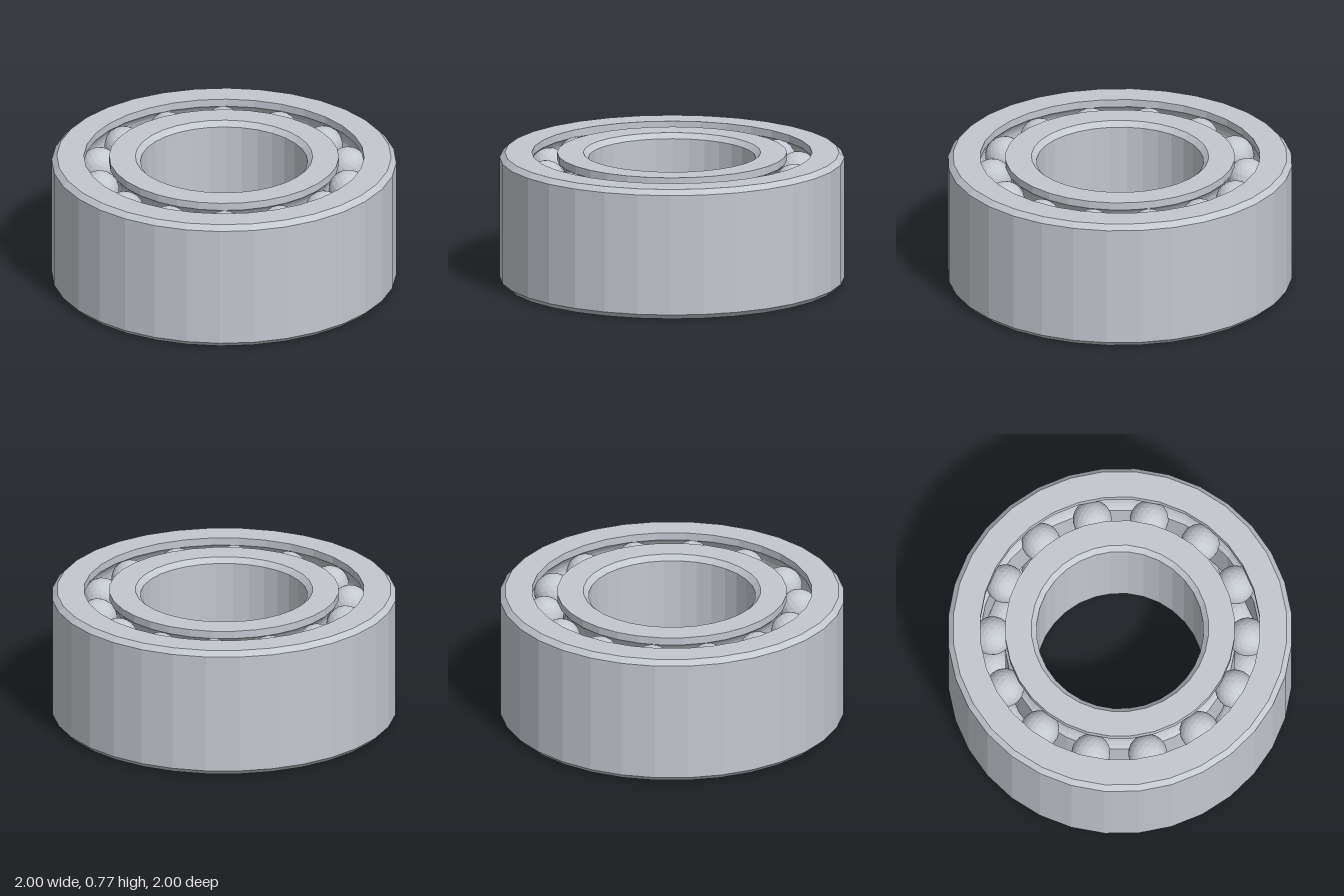
import * as THREE from 'three';

const H = 0.77, MID = H / 2;        // bearing width
const PITCH = 0.74, BALL = 0.113;   // ball circle and ball radius
const GROOVE = 0.116;               // raceway radius
const ROWS = [MID - 0.25, MID + 0.25];
const BALLS = 14, SIDES = 32, CH = 0.03;

const steel = new THREE.MeshStandardMaterial({ color: 0xc4c8cf });
steel.name = 'steel';

// Give every facet its own flat normal
function faceted(geometry) {
  const g = geometry.index ? geometry.toNonIndexed() : geometry;
  g.computeVertexNormals();
  return g;
}

// Race wall with one round groove per ball row, listed upwards;
// side is +1 for a groove cut into the outer ring, -1 for the inner ring
function raceWall(radius, side) {
  const pts = [[radius, 0]];
  const reach = Math.acos(Math.abs(radius - PITCH) / GROOVE);
  for (const y of ROWS) {
    for (let i = 0; i <= 8; i++) {
      const a = reach * (i / 4 - 1);
      pts.push([PITCH + side * GROOVE * Math.cos(a), y + GROOVE * Math.sin(a)]);
    }
  }
  pts.push([radius, H]);
  return pts;
}

// Closed ring turned from its cross-section
function ring(name, profile) {
  const pts = [...profile, profile[0]].map(([r, y]) => new THREE.Vector2(r, y));
  const mesh = new THREE.Mesh(faceted(new THREE.LatheGeometry(pts, SIDES)), steel);
  mesh.name = name;
  return mesh;
}

export function createModel() {
  const model = new THREE.Group();
  model.name = 'ballBearing';

  // Outer ring: chamfered outside, grooved inside
  model.add(ring('outerRing', [
    [1 - CH, 0], [1, CH], [1, H - CH], [1 - CH, H],
    ...raceWall(0.813, 1).reverse(),
  ]));

  // Inner ring: grooved outside, chamfered bore
  const bore = 0.485;
  model.add(ring('innerRing', [
    ...raceWall(0.667, -1),
    [bore + CH, H], [bore, H - CH], [bore, CH], [bore + CH, 0],
  ]));

  // Two rows of balls
  const ballGeometry = faceted(new THREE.IcosahedronGeometry(BALL, 3));
  ROWS.forEach((y, row) => {
    const group = new THREE.Group();
    group.name = row ? 'upperBallRow' : 'lowerBallRow';
    for (let i = 0; i < BALLS; i++) {
      const a = (i / BALLS) * Math.PI * 2;
      const ball = new THREE.Mesh(ballGeometry, steel);
      ball.name = 'ball';
      ball.position.set(PITCH * Math.cos(a), y, PITCH * Math.sin(a));
      group.add(ball);
    }
    model.add(group);
  });

  return model;
}
